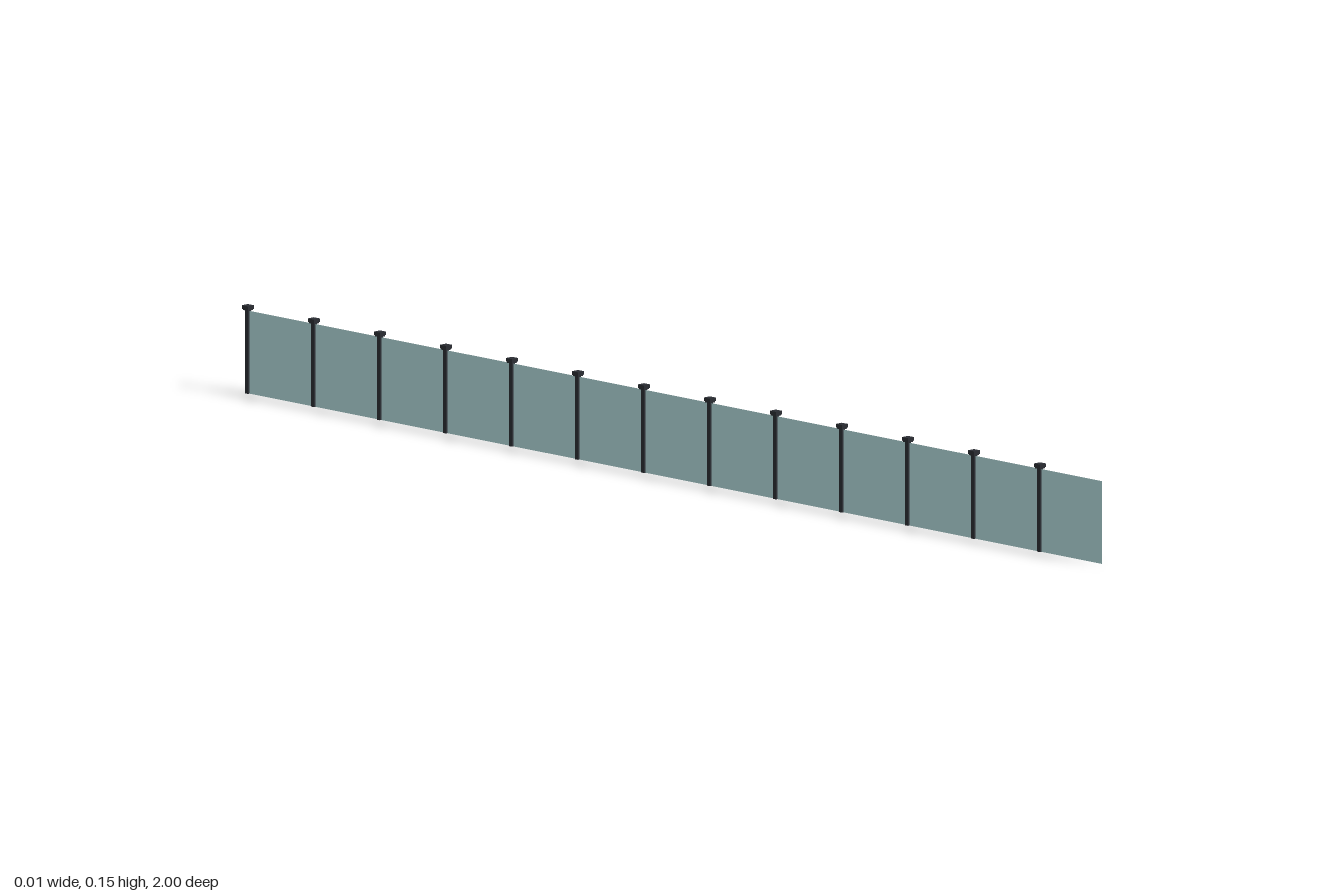
import * as THREE from 'three';

const COUNT = 13;
const STEP = 0.154;
const FIRST_Z = -0.993;
const POST = 0.007;
const PANEL_HEIGHT = 0.14;

export function createModel() {
  const model = new THREE.Group();
  model.name = 'glassFence';
  const metal = new THREE.MeshStandardMaterial({ color: 0x2a2d33 });
  const glass = new THREE.MeshStandardMaterial({ color: 0xb2d9da, side: THREE.DoubleSide });

  const add = (parent, name, geometry, material, y, z) => {
    const mesh = new THREE.Mesh(geometry, material);
    mesh.name = name;
    mesh.position.set(0, y, z);
    parent.add(mesh);
  };

  const postGeo = new THREE.BoxGeometry(POST, 0.142, POST);
  const collarGeo = new THREE.BoxGeometry(0.012, 0.002, 0.012);
  const capGeo = new THREE.BoxGeometry(0.014, 0.006, 0.014);

  // Each bay is a capped post followed by a thin pane running to the next post
  for (let i = 0; i < COUNT; i++) {
    const bay = new THREE.Group();
    bay.name = 'bay';
    bay.position.z = FIRST_Z + i * STEP;
    add(bay, 'post', postGeo, metal, 0.071, 0);
    add(bay, 'collar', collarGeo, metal, 0.142, 0);
    add(bay, 'cap', capGeo, metal, 0.146, 0);

    const start = POST / 2;
    const end = i < COUNT - 1 ? STEP - POST / 2 : 1 - bay.position.z;
    const pane = new THREE.PlaneGeometry(end - start, PANEL_HEIGHT).rotateY(Math.PI / 2);
    add(bay, 'glassPanel', pane, glass, PANEL_HEIGHT / 2, (start + end) / 2);
    model.add(bay);
  }
  return model;
}
